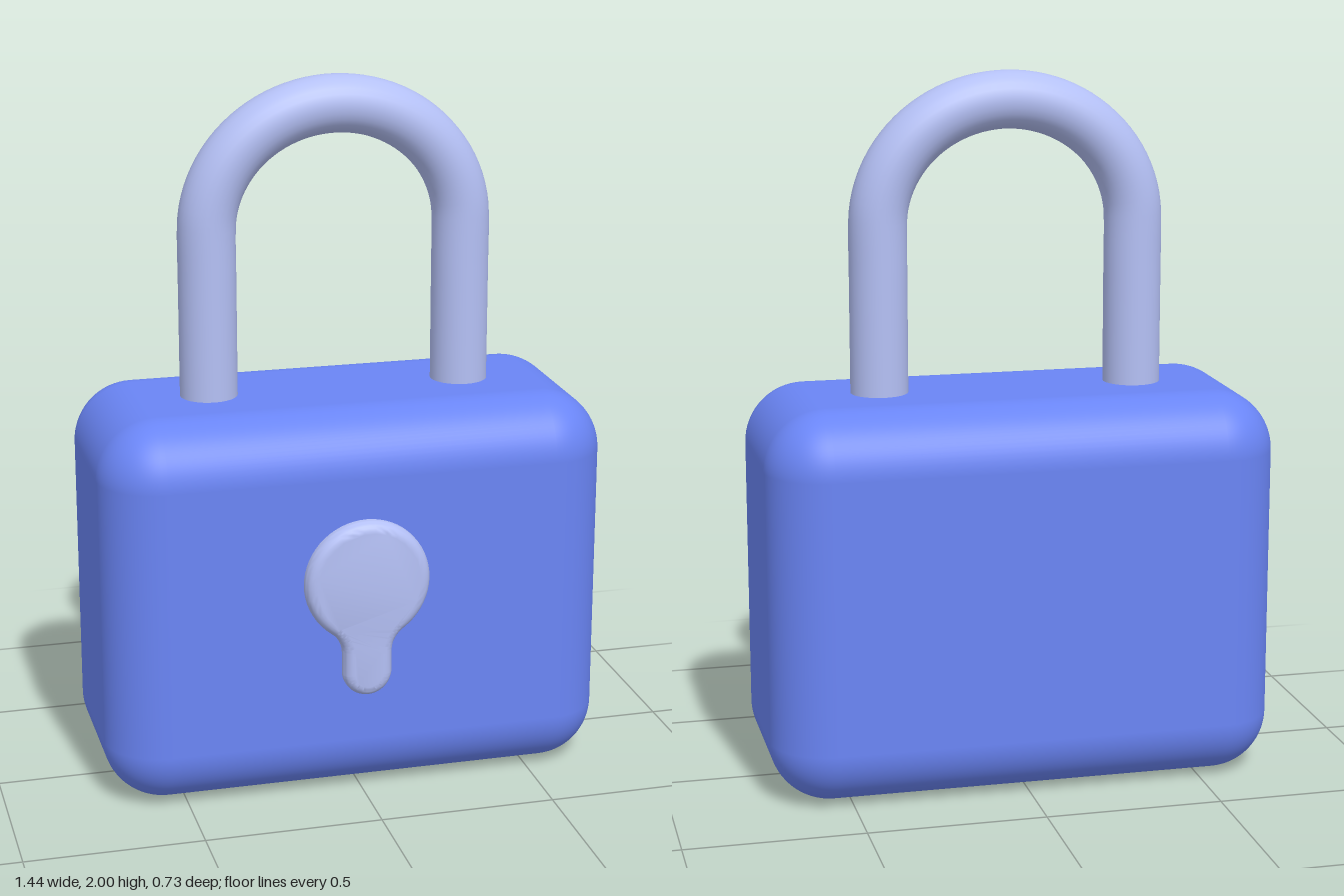
import * as THREE from 'three';
import { RoundedBoxGeometry } from 'three/addons/geometries/RoundedBoxGeometry.js';
import { toCreasedNormals } from 'three/addons/utils/BufferGeometryUtils.js';

const BLUE = new THREE.MeshStandardMaterial({ color: 0x6a85f5 });
const PALE = new THREE.MeshStandardMaterial({ color: 0xb4c0f5 });
const MID_Z = -0.02; // depth centre of body and shackle

function part(name, geometry, material) {
  const mesh = new THREE.Mesh(geometry, material);
  mesh.name = name;
  return mesh;
}

// Pillowy rounded block
function makeBody() {
  const body = part('body', new RoundedBoxGeometry(1.44, 1.11, 0.69, 10, 0.17), BLUE);
  body.position.set(0, 0.558, MID_Z);
  return body;
}

// Round bar: two straight legs joined by an arch, ends sunk into the body
function makeShackle() {
  const halfWidth = 0.365, spring = 1.58, rise = 0.34, steps = 24;
  const legs = [1.0, 1.15, 1.3, 1.45];
  const points = legs.map((y) => new THREE.Vector3(halfWidth, y, MID_Z));
  for (let i = 0; i <= steps; i++) {
    const a = (i / steps) * Math.PI;
    points.push(new THREE.Vector3(halfWidth * Math.cos(a), spring + rise * Math.sin(a), MID_Z));
  }
  legs.reverse().forEach((y) => points.push(new THREE.Vector3(-halfWidth, y, MID_Z)));
  const path = new THREE.CatmullRomCurve3(points);
  return part('shackle', new THREE.TubeGeometry(path, 96, 0.081, 28, false), PALE);
}

// Raised keyhole plate: a disc filleted into a round-ended stem
function makeKeyhole() {
  const cy = 0.65, r = 0.178, stem = 0.07, fillet = 0.08, stemEnd = 0.385;
  const fx = stem + fillet;
  const fy = cy - Math.sqrt((r + fillet) ** 2 - fx ** 2);
  const a = Math.atan2(cy - fy, fx);
  const shape = new THREE.Shape();
  shape.absarc(0, cy, r, -a, Math.PI + a, false);
  shape.absarc(-fx, fy, fillet, a, 0, true);
  shape.absarc(0, stemEnd, stem, Math.PI, 2 * Math.PI, false);
  shape.absarc(fx, fy, fillet, Math.PI, Math.PI - a, true);

  const bevel = 0.03;
  const geometry = new THREE.ExtrudeGeometry(shape, {
    depth: 0.06, curveSegments: 24,
    bevelSize: bevel, bevelThickness: bevel, bevelOffset: -bevel, bevelSegments: 6,
  });
  geometry.translate(0, 0, 0.365 - 0.06 - bevel);
  return part('keyhole', toCreasedNormals(geometry, 0.8), PALE);
}

export function createModel() {
  const model = new THREE.Group();
  model.name = 'padlock';
  model.add(makeBody(), makeShackle(), makeKeyhole());
  return model;
}
